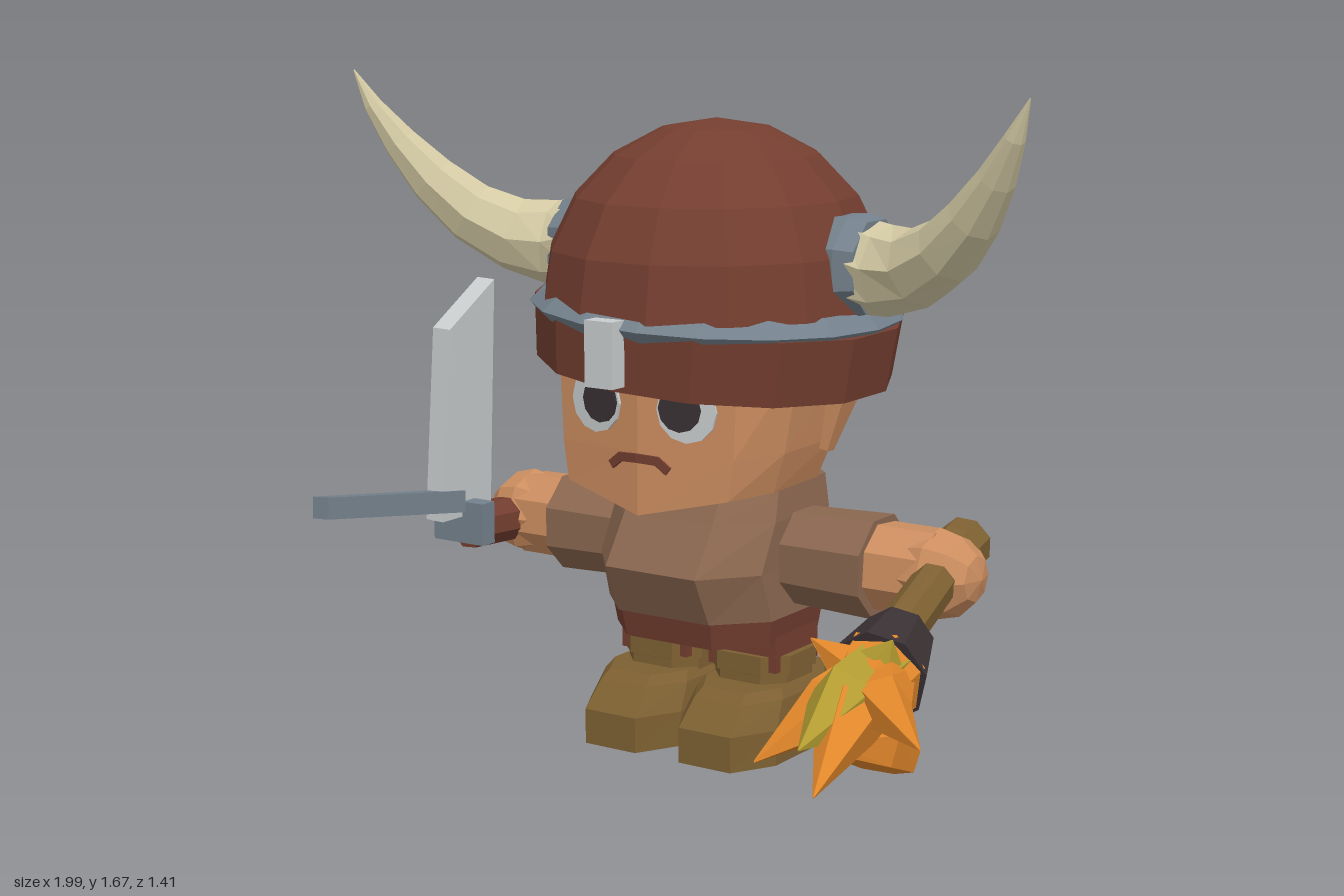
import * as THREE from 'three';

const CX = -0.025; // body centre line

const paint = (name, color) => {
  const m = new THREE.MeshStandardMaterial({ color });
  m.name = name;
  return m;
};

// Skin over a list of rings (each counter-clockwise seen from the far end), with both ends closed
function loft(rings) {
  const out = [];
  const tri = (...pts) => pts.forEach((p) => out.push(p.x, p.y, p.z));
  const n = rings[0].length;
  const middle = (r) => r.reduce((s, p) => s.add(p), new THREE.Vector3()).divideScalar(n);
  const first = rings[0], last = rings[rings.length - 1];
  const a = middle(first), b = middle(last);
  for (let i = 0; i < n; i++) {
    const j = (i + 1) % n;
    for (let k = 0; k + 1 < rings.length; k++) {
      const lo = rings[k], hi = rings[k + 1];
      tri(lo[i], lo[j], hi[j]);
      tri(lo[i], hi[j], hi[i]);
    }
    tri(a, first[j], first[i]);
    tri(b, last[i], last[j]);
  }
  const g = new THREE.BufferGeometry();
  g.setAttribute('position', new THREE.Float32BufferAttribute(out, 3));
  return g;
}

// Symmetric ring from a half outline running front to back: [x, z, optional y]
function mirrorRing(y, half, cx = CX) {
  const other = half.filter((p) => p[0] > 0).reverse().map(([x, z, h]) => [-x, z, h]);
  return [...half, ...other].map(([x, z, h]) => new THREE.Vector3(cx + x, h ?? y, z));
}

// Eight-sided ring with cut corners
function octRing(y, rx, front, back, cx = CX) {
  const c = (front - back) * 0.24;
  return mirrorRing(y, [[rx * 0.55, front], [rx, front - c], [rx, back + c], [rx * 0.55, back]], cx);
}

// Faceted limb along points [x, y, z, radius]
function limb(path, n = 8) {
  const pts = path.map((p) => new THREE.Vector3(p[0], p[1], p[2]));
  const up = new THREE.Vector3(0, 1, 0);
  return loft(pts.map((p, k) => {
    const dir = pts[Math.min(k + 1, pts.length - 1)].clone().sub(pts[Math.max(k - 1, 0)]).normalize();
    const q = new THREE.Quaternion().setFromUnitVectors(up, dir);
    return Array.from({ length: n }, (_, i) => {
      const t = ((i + 0.5) / n) * Math.PI * 2;
      return new THREE.Vector3(Math.cos(t), 0, -Math.sin(t)).multiplyScalar(path[k][3]).applyQuaternion(q).add(p);
    });
  }));
}

export function createModel() {
  const model = new THREE.Group();
  model.name = 'hornedWarrior';
  const red = paint('russet', 0x743e30);
  const skin = paint('skin', 0xcd8e60);
  const tunic = paint('tunicBrown', 0x8b6750);
  const steel = paint('steel', 0x74818c);
  const silver = paint('silver', 0xc8cccd);
  const bone = paint('bone', 0xd3c9a3);
  const leather = paint('oliveLeather', 0x7d6032);
  const black = paint('charcoal', 0x3a3133);
  const orange = paint('flameOrange', 0xe0862a);
  const yellow = paint('flameYellow', 0xb09a30);

  // Every part is faceted
  function add(name, geometry, material, pos = [0, 0, 0], rot = [0, 0, 0]) {
    const g = geometry.index ? geometry.toNonIndexed() : geometry;
    g.computeVertexNormals();
    const mesh = new THREE.Mesh(g, material);
    mesh.name = name;
    mesh.position.set(...pos);
    mesh.rotation.set(...rot);
    model.add(mesh);
  }
  const box = (x, y, z) => new THREE.BoxGeometry(x, y, z);

  // Body
  add('trousers', loft([octRing(0.285, 0.23, -0.005, -0.445), octRing(0.365, 0.242, 0.012, -0.46)]), red);
  add('tunic', loft([
    octRing(0.355, 0.245, 0.02, -0.462), octRing(0.48, 0.24, 0.08, -0.48),
    octRing(0.6, 0.24, 0, -0.49), octRing(0.68, 0.228, -0.05, -0.475),
  ]), tunic);

  // Legs, boots, sleeves, forearms
  for (const s of [1, -1]) {
    const side = s > 0 ? 'left' : 'right';
    const fx = CX + s * 0.142, lx = CX + s * 0.133;
    add(side + 'Leg', box(0.2, 0.12, 0.2), red, [lx, 0.27, -0.235]);
    add(side + 'BootCuff', loft([
      octRing(0.15, 0.108, -0.125, -0.35, lx), octRing(0.2, 0.108, -0.125, -0.35, lx),
      octRing(0.202, 0.118, -0.12, -0.355, lx), octRing(0.25, 0.118, -0.12, -0.355, lx),
    ]), leather);
    add(side + 'Boot', loft([
      octRing(0, 0.138, 0.05, -0.425, fx), octRing(0.09, 0.138, 0.05, -0.43, fx),
      octRing(0.155, 0.126, -0.01, -0.43, fx), octRing(0.178, 0.112, -0.04, -0.425, fx),
    ]), leather);
    add(side + 'Sleeve', limb([[CX + s * 0.15, 0.495, -0.25, 0.122], [CX + s * 0.47, 0.495, -0.25, 0.133]]), tunic);
    const hx = s > 0 ? 0.59 : -0.635;
    add(side + 'Forearm', limb([[CX + s * 0.43, 0.5, -0.25, 0.113], [hx, 0.495, -0.265, 0.112]]), skin);
    add(side + 'Hand', new THREE.SphereGeometry(0.125, 8, 6).rotateZ(Math.PI / 2).scale(0.95, 0.92, 1), skin, [hx, 0.495, -0.265]);
  }

  // Head with a ridged face
  add('head', loft([
    mirrorRing(0.69, [[0, 0.13, 0.635], [0.235, 0.09], [0.27, -0.06], [0.26, -0.28], [0.16, -0.41, 0.7], [0, -0.42, 0.7]]),
    mirrorRing(0.79, [[0, 0.13], [0.25, 0.09], [0.3, -0.06], [0.295, -0.3], [0.18, -0.46], [0, -0.475]]),
    mirrorRing(1.02, [[0, 0.13], [0.26, 0.09], [0.335, -0.07], [0.33, -0.34], [0.22, -0.57], [0, -0.59]]),
  ]), skin);

  // Ears and face
  for (const s of [1, -1]) {
    const side = s > 0 ? 'left' : 'right';
    add(side + 'Ear', limb([[CX + s * 0.3, 0.77, -0.25, 0.022], [CX + s * 0.325, 0.9, -0.265, 0.05], [CX + s * 0.34, 0.98, -0.265, 0.045]], 4), skin);
    const tilt = [Math.PI / 2, 0, -s * 0.155];
    const disc = (r) => new THREE.CylinderGeometry(r, r, 0.008, 12);
    add(side + 'EyeWhite', disc(0.079), silver, [CX + s * 0.132, 0.904, 0.113], tilt);
    add(side + 'Pupil', disc(0.056), black, [CX + s * 0.116, 0.907, 0.12], tilt);
    add(side + 'MouthMiddle', box(0.06, 0.022, 0.009), red, [CX + s * 0.029, 0.776, 0.128], [0, s * 0.155, -s * 0.06]);
    add(side + 'MouthCorner', box(0.042, 0.022, 0.009), red, [CX + s * 0.067, 0.764, 0.122], [0, s * 0.155, -s * 0.65]);
  }

  // Helmet: dome, lower band, rim and nose guard
  add('helmetDome', new THREE.SphereGeometry(1, 14, 5, 0, Math.PI * 2, 0, Math.PI / 2).scale(0.43, 0.455, 0.46), red, [CX, 1.12, -0.215]);
  add('helmetBand', new THREE.CylinderGeometry(0.47, 0.455, 0.16, 14).scale(0.98, 1, 1), red, [CX, 1.035, -0.225], [0, 0, -0.09]);
  add('helmetRim', new THREE.TorusGeometry(0.447, 0.04, 4, 18).rotateX(Math.PI / 2).scale(0.95, 1, 1), steel, [CX, 1.11, -0.225], [0, 0, -0.055]);
  add('noseGuard', box(0.08, 0.16, 0.05), silver, [-0.03, 1.05, 0.258]);

  // Horns with sockets
  for (const s of [1, -1]) {
    const side = s > 0 ? 'left' : 'right';
    const at = (d, y, z, r) => [-0.03 + s * d, y, z, r];
    add(side + 'HornSocket', limb([at(0.34, 1.235, -0.235, 0.128), at(0.4, 1.235, -0.235, 0.132), at(0.45, 1.235, -0.235, 0.12)]), steel);
    add(side + 'Horn', limb([
      at(0.4, 1.235, -0.235, 0.117), at(0.5, 1.23, -0.22, 0.11), at(0.6, 1.25, -0.18, 0.096),
      at(0.7, 1.305, -0.13, 0.082), at(0.79, 1.39, -0.085, 0.066), at(0.865, 1.485, -0.045, 0.046),
      at(0.925, 1.58, -0.01, 0.025), at(0.97, 1.67, 0.01, 0.002),
    ]), bone);
  }

  // Sword: grip, pommel, guard, upright blade and forward spike
  add('swordGripCap', limb([[-0.635, 0.48, -0.42, 0.084], [-0.64, 0.483, -0.355, 0.084]]), red);
  add('swordGrip', limb([[-0.64, 0.483, -0.37, 0.06], [-0.67, 0.495, -0.02, 0.06]]), red);
  add('swordPommel', new THREE.IcosahedronGeometry(0.066, 1), steel, [-0.63, 0.478, -0.48]);
  add('swordGuard', box(0.16, 0.11, 0.05), steel, [-0.67, 0.515, -0.005]);
  const blade = new THREE.Shape([[-0.1, 0.53], [0.1, 0.53], [0.08, 1.03], [-0.1, 1.14]].map((p) => new THREE.Vector2(...p)));
  add('swordBlade', new THREE.ExtrudeGeometry(blade, { depth: 0.055, bevelEnabled: false }).rotateY(-Math.PI / 2), silver, [-0.675, 0, 0], [0, 0, -0.035]);
  add('swordSpike', limb([[-0.672, 0.57, 0.02, 0.04], [-0.71, 0.637, 0.505, 0.038]], 4), steel);

  // Torch: handle, dark cup and flames
  add('torchHandle', limb([
    [0.6, 0.55, -0.385, 0.068], [0.605, 0.54, -0.33, 0.068], [0.612, 0.51, -0.25, 0.055], [0.66, 0.42, 0.08, 0.058],
  ]), leather);
  add('torchCup', limb([[0.66, 0.415, 0.055, 0.085], [0.705, 0.372, 0.235, 0.118]]), black);
  const flames = [
    [orange, [0.82, 0.245, 0.7], 0.08], [orange, [0.99, 0.34, 0.55], 0.07],
    [orange, [0.59, 0.245, 0.57], 0.075], [orange, [0.57, 0.46, 0.3], 0.06],
    [yellow, [0.74, 0.315, 0.63], 0.09], [yellow, [0.775, 0.485, 0.29], 0.07],
  ];
  flames.forEach(([mat, tip, r], i) => {
    const mid = [0.71, 0.375, 0.3].map((v, k) => v + (tip[k] - v) * 0.3);
    add('flame' + (i + 1), limb([[0.71, 0.38, 0.2, r], [...mid, r], [...tip, 0.002]], 5), mat);
  });
  add('flameRoot', limb([[0.7, 0.375, 0.21, 0.112], [0.72, 0.355, 0.32, 0.09], [0.74, 0.33, 0.42, 0.03]], 7), orange);
  add('fallingFlame', limb([[0.73, 0.28, 0.48, 0.02], [0.75, 0.245, 0.31, 0.065], [0.755, 0.18, 0.19, 0.042]], 5), orange);
  return model;
}
